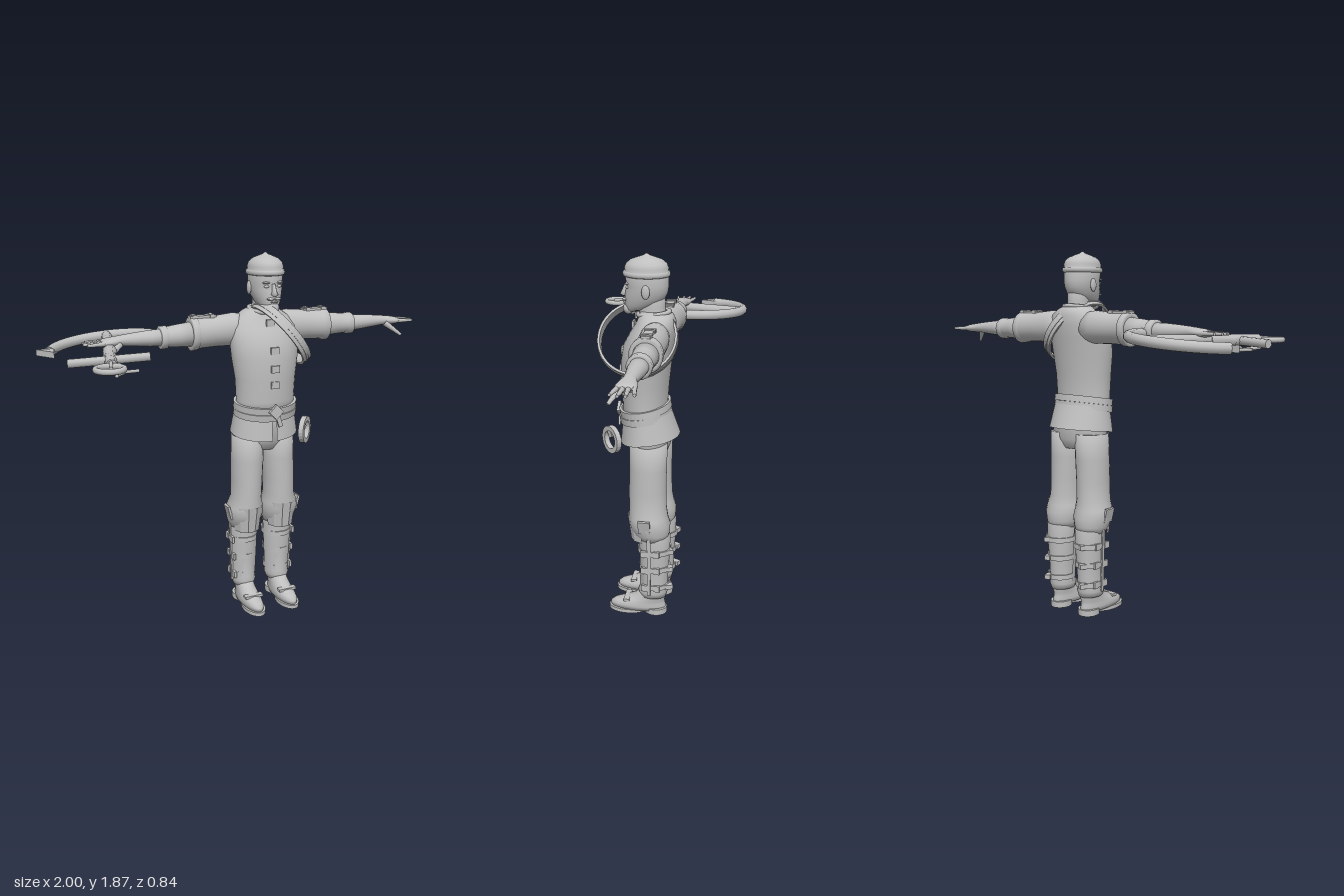
import * as THREE from 'three';

const grey = new THREE.MeshStandardMaterial({ color: 0xbfbfbf, side: THREE.DoubleSide });
grey.name = 'plain grey';
const V = (x, y, z) => new THREE.Vector3(x, y, z);

// Skin of elliptical rings; each row is [x, y, z, radiusA, radiusZ] along axis 'x' or 'y'
function loft(rows, axis = 'y', n = 24) {
  const pos = [], idx = [];
  for (const [x, y, z, a, b] of rows) {
    for (let j = 0; j < n; j++) {
      const t = (j / n) * Math.PI * 2, c = a * Math.cos(t), s = b * Math.sin(t);
      if (axis === 'y') pos.push(x + c, y, z + s);
      else pos.push(x, y + c, z - s);
    }
  }
  for (let i = 0; i < rows.length - 1; i++) {
    for (let j = 0; j < n; j++) {
      const a = i * n + j, b = i * n + (j + 1) % n;
      idx.push(a, a + n, b, b, a + n, b + n);
    }
  }
  const last = rows.length - 1, c0 = pos.length / 3;
  pos.push(...rows[0].slice(0, 3), ...rows[last].slice(0, 3));
  for (let j = 0; j < n; j++) {
    const k = (j + 1) % n;
    idx.push(c0, j, k, c0 + 1, last * n + k, last * n + j);
  }
  const g = new THREE.BufferGeometry();
  g.setAttribute('position', new THREE.Float32BufferAttribute(pos, 3));
  g.setIndex(idx);
  g.computeVertexNormals();
  return g;
}
// Rows given as [y, radiusX, frontZ, backZ]
const trunk = (rows, n) => loft(rows.map(([y, r, f, b]) => [0, y, (f + b) / 2, r, (f - b) / 2]), 'y', n);

function box(w, h, d, x, y, z, ry = 0, rz = 0) {
  return new THREE.BoxGeometry(w, h, d).rotateZ(rz).rotateY(ry).translate(x, y, z);
}
const ball = (rx, ry, rz, x, y, z) => new THREE.SphereGeometry(1, 16, 12).scale(rx, ry, rz).translate(x, y, z);

// Straight bar between two points
function rod(a, b, r0, r1 = r0, n = 10) {
  const d = b.clone().sub(a);
  const g = new THREE.CylinderGeometry(r1, r0, d.length(), n);
  g.applyQuaternion(new THREE.Quaternion().setFromUnitVectors(V(0, 1, 0), d.normalize()));
  return g.translate((a.x + b.x) / 2, (a.y + b.y) / 2, (a.z + b.z) / 2);
}
function mirror(src) {
  const g = src.clone().scale(-1, 1, 1), ix = g.index.array;
  for (let i = 0; i < ix.length; i += 3) [ix[i], ix[i + 1]] = [ix[i + 1], ix[i]];
  return g;
}
function add(group, name, geo) {
  const m = new THREE.Mesh(geo, grey);
  m.name = name;
  group.add(m);
}
function pair(group, name, geo) {
  add(group, name + 'Left', geo);
  add(group, name + 'Right', mirror(geo));
}
// Flat hoop: rectangular section turned around y
function hoop(rIn, rOut, h, n = 40) {
  const p = [[rIn, -h / 2], [rOut, -h / 2], [rOut, h / 2], [rIn, h / 2], [rIn, -h / 2]];
  return flat(new THREE.LatheGeometry(p.map(q => new THREE.Vector2(...q)), n));
}
function flat(g) {
  const f = g.toNonIndexed();
  f.computeVertexNormals();
  f.setIndex([...Array(f.attributes.position.count).keys()]);
  return f;
}

function buildHead(b) {
  add(b, 'neck', trunk([[1.5, 0.075, 0.04, -0.12], [1.57, 0.056, 0.04, -0.09], [1.62, 0.052, 0.04, -0.085], [1.7, 0.052, 0.04, -0.085]]));
  add(b, 'head', trunk([[1.592, 0.018, 0.1, 0.06], [1.605, 0.04, 0.105, 0.01], [1.63, 0.058, 0.11, -0.055], [1.66, 0.07, 0.11, -0.085],
    [1.69, 0.078, 0.106, -0.098], [1.72, 0.082, 0.1, -0.102], [1.76, 0.083, 0.108, -0.1], [1.8, 0.075, 0.09, -0.09]], 32));
  add(b, 'nose', loft([[0, 1.665, 0.105, 0.006, 0.015], [0, 1.674, 0.11, 0.017, 0.024], [0, 1.69, 0.106, 0.011, 0.02], [0, 1.725, 0.1, 0.008, 0.01]], 'y', 10));
  add(b, 'beard', ball(0.033, 0.03, 0.026, 0, 1.607, 0.093));
  add(b, 'mouth', ball(0.02, 0.005, 0.01, 0, 1.638, 0.11));
  pair(b, 'moustache', ball(0.02, 0.007, 0.012, 0.018, 1.653, 0.106).rotateZ(0));
  pair(b, 'eye', ball(0.014, 0.007, 0.008, 0.033, 1.712, 0.092));
  pair(b, 'brow', ball(0.022, 0.006, 0.01, 0.034, 1.73, 0.092));
  pair(b, 'ear', ball(0.01, 0.033, 0.02, 0.083, 1.7, -0.005));
  const cap = [[0.084, 1.762], [0.091, 1.765], [0.093, 1.776], [0.09, 1.786], [0.084, 1.788], [0.086, 1.802], [0.079, 1.822],
    [0.062, 1.839], [0.035, 1.851], [0.014, 1.859], [0, 1.87]];
  add(b, 'cap', new THREE.LatheGeometry(cap.map(p => new THREE.Vector2(...p)), 32).scale(1, 1, 1.23).translate(0, 0, 0.005));
}

function buildTorso(b) {
  add(b, 'tunic', trunk([[1.05, 0.158, 0.12, -0.11], [1.14, 0.155, 0.122, -0.1], [1.25, 0.16, 0.13, -0.108], [1.36, 0.176, 0.128, -0.12],
    [1.44, 0.18, 0.113, -0.13], [1.5, 0.175, 0.08, -0.138], [1.55, 0.145, 0.05, -0.136], [1.58, 0.1, 0.04, -0.125], [1.6, 0.06, 0.035, -0.1]], 32));
  add(b, 'collar', new THREE.TorusGeometry(0.065, 0.011, 8, 28).rotateX(Math.PI / 2).scale(1, 1, 1.15).rotateX(0.12).translate(0, 1.588, -0.03));
  for (const [y, z] of [[1.53, 0.068], [1.4, 0.122], [1.31, 0.13], [1.23, 0.129]]) add(b, 'frontTab', box(0.045, 0.035, 0.012, 0, y, z));
  // Flared skirt, open at the front
  const skirt = new THREE.CylinderGeometry(1, 1, 1, 40, 5, true, 0.07, Math.PI * 2 - 0.14), p = skirt.attributes.position;
  for (let i = 0; i < p.count; i++) {
    const x = p.getX(i), z = p.getZ(i), t = 0.5 - p.getY(i), back = z < 0 ? 0.045 : 0.015;
    p.setXYZ(i, x * (0.158 + 0.02 * t), 1.1 - t * (0.135 - 0.015 * z * -1) + (z < 0 ? 0 : -0.01 * t * z), z * (0.118 + back * t));
  }
  skirt.computeVertexNormals();
  add(b, 'skirt', skirt);
  const belt = dy => hoop(0.95, 1.05, 0.034).scale(0.16, 1, 0.122).rotateX(0.16).translate(0, dy, 0.01);
  add(b, 'belt', belt(1.115));
  add(b, 'lowerBelt', belt(1.08));
  add(b, 'buckle', box(0.055, 0.055, 0.016, 0, 1.095, 0.143, 0, Math.PI / 4));
  add(b, 'beltTail', box(0.022, 0.07, 0.01, 0.018, 1.05, 0.138, 0, 0.3));
  // Diagonal chest strap
  const strap = new THREE.Group();
  strap.position.set(0.07, 1.472, 0.035);
  strap.rotation.z = -0.9;
  add(strap, 'chestStrap', hoop(0.18, 0.192, 0.05, 48));
  add(strap, 'strapEdge', hoop(0.18, 0.195, 0.012, 48));
  b.add(strap);
  // Ring pouch hanging at the hip
  const pouch = new THREE.Group();
  pouch.position.set(0.158, 0.988, 0.15);
  pouch.rotation.y = Math.PI / 4;
  add(pouch, 'hipRing', hoop(0.045, 0.069, 0.026, 24).rotateX(Math.PI / 2));
  add(pouch, 'hipRingLatch', box(0.03, 0.045, 0.012, -0.012, 0.03, 0, 0, 0.5));
  b.add(pouch);
}

function buildArms(b) {
  pair(b, 'sleeve', loft([[0.08, 1.49, -0.055, 0.075, 0.065], [0.15, 1.492, -0.058, 0.082, 0.07], [0.25, 1.488, -0.06, 0.076, 0.069],
    [0.34, 1.484, -0.06, 0.076, 0.071], [0.345, 1.484, -0.06, 0.082, 0.077], [0.375, 1.482, -0.06, 0.083, 0.078], [0.377, 1.482, -0.06, 0.07, 0.066]], 'x'));
  pair(b, 'underSleeve', loft([[0.36, 1.482, -0.06, 0.062, 0.062], [0.44, 1.48, -0.06, 0.055, 0.056], [0.495, 1.478, -0.06, 0.05, 0.053],
    [0.5, 1.477, -0.06, 0.056, 0.058], [0.53, 1.476, -0.06, 0.056, 0.058], [0.532, 1.476, -0.06, 0.045, 0.046]], 'x'));
  pair(b, 'forearm', loft([[0.5, 1.477, -0.06, 0.042, 0.045], [0.58, 1.478, -0.06, 0.039, 0.043], [0.66, 1.478, -0.06, 0.032, 0.034],
    [0.72, 1.478, -0.06, 0.026, 0.03], [0.75, 1.476, -0.06, 0.024, 0.04], [0.79, 1.474, -0.06, 0.021, 0.047], [0.82, 1.473, -0.06, 0.015, 0.044]], 'x'));
  const tips = [[0.885, -0.112], [0.905, -0.08], [0.908, -0.048], [0.895, -0.015]];
  tips.forEach(([x, z], i) => pair(b, 'finger', rod(V(0.8, 1.473, -0.094 + i * 0.022), V(x, 1.472, z), 0.012, 0.007)));
  pair(b, 'thumb', rod(V(0.735, 1.465, -0.035), V(0.81, 1.403, 0.012), 0.017, 0.008));
  pair(b, 'epaulette', box(0.135, 0.012, 0.042, 0.31, 1.565, -0.06));
  for (const x of [0.265, 0.355]) pair(b, 'epauletteBuckle', box(0.022, 0.018, 0.052, x, 1.567, -0.06));
}

function buildLegs(b) {
  add(b, 'trouserSeat', trunk([[0.87, 0.11, 0.05, -0.095], [0.92, 0.168, 0.078, -0.115], [1.0, 0.165, 0.095, -0.12], [1.09, 0.15, 0.1, -0.1]]));
  pair(b, 'trouserLeg', loft([[0.1, 0.44, -0.045, 0.075, 0.078], [0.1, 0.475, -0.035, 0.088, 0.096], [0.1, 0.52, -0.028, 0.099, 0.106], [0.1, 0.56, -0.022, 0.095, 0.1],
    [0.095, 0.61, -0.018, 0.08, 0.096], [0.092, 0.7, -0.016, 0.081, 0.095], [0.088, 0.82, -0.018, 0.084, 0.094], [0.085, 0.95, -0.02, 0.083, 0.095]]));
  pair(b, 'kneeGuard', flat(new THREE.CylinderGeometry(1, 0.82, 0.14, 5, 1, true, -1.35, 2.7)).scale(0.088, 1, 0.105).translate(0.098, 0.5, -0.018));
  pair(b, 'kneeWing', box(0.012, 0.075, 0.06, 0.196, 0.535, -0.015, 0, -0.25));
  pair(b, 'bootShaft', loft([[0.1, 0.1, -0.045, 0.056, 0.07], [0.1, 0.13, -0.045, 0.066, 0.078], [0.1, 0.15, -0.048, 0.06, 0.073], [0.1, 0.24, -0.052, 0.062, 0.074],
    [0.1, 0.36, -0.055, 0.072, 0.078], [0.1, 0.455, -0.052, 0.075, 0.084], [0.1, 0.46, -0.052, 0.065, 0.07]]));
  pair(b, 'shinGuard', new THREE.CylinderGeometry(0.082, 0.068, 0.31, 16, 1, true, -1.5, 3).translate(0.1, 0.29, -0.052));
  pair(b, 'bootSeam', box(0.01, 0.33, 0.016, 0.174, 0.295, -0.035, 0, -0.03));
  for (const [y, r] of [[0.375, 0.079], [0.275, 0.071], [0.17, 0.068]]) {
    pair(b, 'bootStrap', hoop(0.92, 1, 0.026, 24).scale(r, 1, r + 0.01).translate(0.1, y, -0.055));
    pair(b, 'bootBuckle', box(0.014, 0.034, 0.036, 0.098 + r, y, -0.012));
    pair(b, 'strapKeeper', box(0.014, 0.034, 0.03, 0.096 + r, y, -0.075));
    pair(b, 'strapEnd', box(0.03, 0.024, 0.04, 0.125, y, -0.132, 0.4));
  }
  // Shoes
  pair(b, 'shoe', loft([[0.1, 0.018, 0.034, 0.052, 0.148], [0.1, 0.04, 0.034, 0.054, 0.148], [0.1, 0.056, 0.025, 0.052, 0.135], [0.1, 0.075, -0.002, 0.05, 0.105],
    [0.1, 0.1, -0.035, 0.05, 0.08], [0.1, 0.14, -0.045, 0.054, 0.07]]));
  pair(b, 'sole', new THREE.CylinderGeometry(1, 1, 0.02, 28).scale(0.056, 1, 0.1).translate(0.1, 0.01, 0.09));
  pair(b, 'heel', new THREE.CylinderGeometry(1, 1, 0.032, 24).scale(0.053, 1, 0.06).translate(0.1, 0.016, -0.06));
  pair(b, 'shoeStrap', box(0.1, 0.014, 0.03, 0.1, 0.073, 0.09).rotateX(0));
}

function buildCrossbow() {
  const c = new THREE.Group();
  c.name = 'crossbow';
  const y = 1.437;
  add(c, 'stock', rod(V(-0.615, y + 0.01, -0.385), V(-0.775, y, 0.28), 0.026, 0.028, 8));
  add(c, 'stockGrip', rod(V(-0.7, y, -0.02), V(-0.74, y, 0.12), 0.035, 0.028, 8));
  const pts = [];
  for (let i = 0; i <= 14; i++) {
    const t = (i / 14) * (Math.PI - 0.36), x = -0.68 + 0.28 * Math.cos(t);
    pts.push(V(x, 1.442 + 0.09 * (x + 0.68), -0.12 - 0.275 * Math.sin(t)));
  }
  add(c, 'bow', new THREE.TubeGeometry(new THREE.CatmullRomCurve3(pts), 48, 0.026, 10));
  // Flared tip of the bow
  const tip = new THREE.Shape([[-1, -0.235], [-0.915, -0.225], [-0.935, -0.135]].map(q => new THREE.Vector2(...q)));
  add(c, 'bowTip', new THREE.ExtrudeGeometry(tip, { depth: 0.03, bevelEnabled: false }).rotateX(Math.PI / 2).translate(0, 1.433, 0));
  add(c, 'crossBar', rod(V(-0.93, y - 0.01, 0.115), V(-0.575, y + 0.01, 0.205), 0.021, 0.021, 8));
  add(c, 'stirrup', new THREE.TorusGeometry(0.061, 0.014, 8, 28).rotateX(Math.PI / 2).translate(-0.8, y, 0.345));
  add(c, 'bolt', rod(V(-0.755, y + 0.02, 0.2), V(-0.8, y + 0.005, 0.36), 0.009));
  const lever = [V(-0.715, y - 0.01, 0.17), V(-0.715, 1.39, 0.24), V(-0.765, 1.4, 0.32)];
  for (let i = 0; i < 2; i++) add(c, 'lever', rod(lever[i], lever[i + 1], 0.009));
  add(c, 'trigger', rod(V(-0.63, 1.385, 0.2), V(-0.78, 1.392, 0.23), 0.008));
  return c;
}

export function createModel() {
  const model = new THREE.Group();
  const body = new THREE.Group();
  body.name = 'figure';
  body.position.x = 0.09;
  for (const build of [buildHead, buildTorso, buildArms, buildLegs]) build(body);
  model.add(body, buildCrossbow());
  return model;
}
